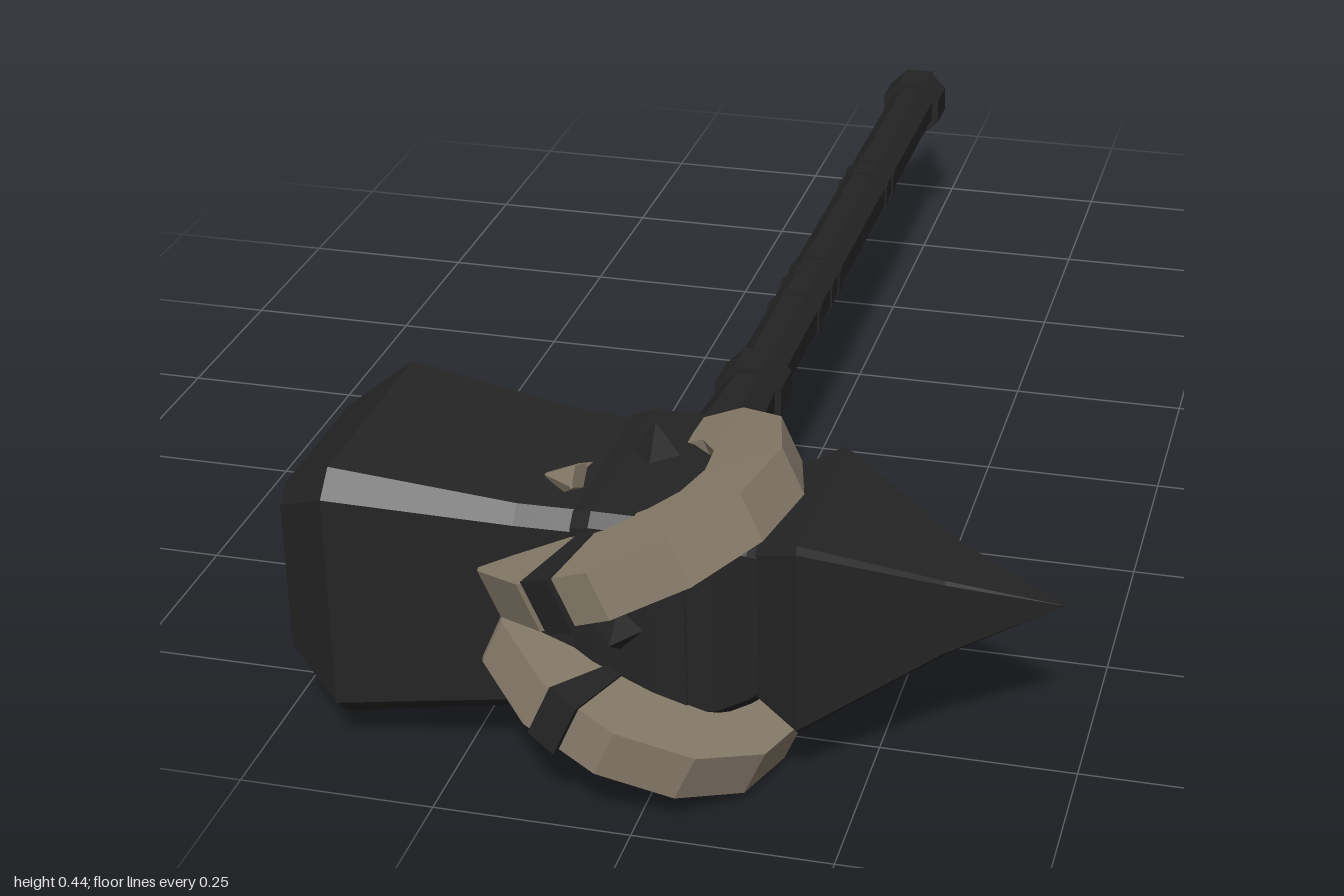
import * as THREE from 'three';

const CY = 0.22, HX = -0.04; // height of the symmetry plane, x of the handle axis
const V = (x, y, z) => new THREE.Vector3(x, y, z);

// Faceted skin over rings of points, closed at both ends
function loft(rings) {
  const pos = [];
  const tri = (a, b, c) => pos.push(...a.toArray(), ...b.toArray(), ...c.toArray());
  const n = rings[0].length;
  for (let k = 0; k + 1 < rings.length; k++) {
    for (let i = 0; i < n; i++) {
      const j = (i + 1) % n, a = rings[k], b = rings[k + 1];
      tri(a[i], a[j], b[j]);
      tri(a[i], b[j], b[i]);
    }
  }
  const first = rings[0], last = rings[rings.length - 1];
  for (let i = 1; i + 1 < n; i++) {
    tri(first[0], first[i + 1], first[i]);
    tri(last[0], last[i], last[i + 1]);
  }
  const g = new THREE.BufferGeometry();
  g.setAttribute('position', new THREE.Float32BufferAttribute(pos, 3));
  g.computeVertexNormals();
  return g;
}

// Chamfered rectangle in the yz plane
function section([x, hy, z0, z1, c]) {
  const zc = (z0 + z1) / 2, hz = (z1 - z0) / 2;
  return [[hy, -hz + c], [hy, hz - c], [hy - c, hz], [-hy + c, hz],
    [-hy, hz - c], [-hy, -hz + c], [-hy + c, -hz], [hy - c, -hz]]
    .map(([y, z]) => V(x, CY + y, zc + z));
}

export function createModel() {
  const model = new THREE.Group();
  const iron = new THREE.MeshStandardMaterial({ color: 0x242424 });
  iron.name = 'dark iron';
  const bone = new THREE.MeshStandardMaterial({ color: 0x877c6a });
  bone.name = 'horn bone';

  const add = (name, geometry, material = iron) => {
    const mesh = new THREE.Mesh(geometry, material);
    mesh.name = name;
    model.add(mesh);
    return mesh;
  };

  // Faceted rod along z
  const rod = (name, z0, z1, r0, r1, sides = 8, x = HX, y = CY, material = iron) => {
    const k = 1 / Math.cos(Math.PI / sides);
    let g = new THREE.CylinderGeometry(r1 * k, r0 * k, z1 - z0, sides);
    g.rotateY(Math.PI / sides);
    g.rotateX(Math.PI / 2);
    g.translate(x, y, (z0 + z1) / 2);
    g = g.toNonIndexed();
    g.computeVertexNormals();
    return add(name, g, material);
  };

  // Hammer block narrowing into the neck: x, half height, z range, chamfer
  add('hammerBlock', loft([
    [-0.475, 0.12, 0.62, 0.87, 0.02],
    [-0.40, 0.173, 0.57, 0.92, 0.03],
    [-0.17, 0.142, 0.60, 0.89, 0.02],
    [-0.10, 0.14, 0.605, 0.885, 0.02],
    [0.03, 0.135, 0.605, 0.885, 0.02],
    [0.075, 0.127, 0.615, 0.875, 0.015],
    [0.11, 0.115, 0.63, 0.86, 0.015],
    [0.135, 0.102, 0.645, 0.845, 0.015],
  ].map(section)));

  // Pointed beak on the other side
  add('beak', loft([
    [0.115, 0.105, 0.64, 0.85, 0.008],
    [0.175, 0.13, 0.61, 0.88, 0.008],
    [0.335, 0.052, 0.68, 0.785, 0.004],
    [0.47, 0.001, 0.719, 0.721, 0.0002],
  ].map(section)));

  // Raised plate round the middle of the head
  add('middleBand', loft([
    [-0.10, 0.14, 0.60, 0.885, 0.015],
    [-0.075, 0.148, 0.595, 0.893, 0.015],
    [0.0, 0.148, 0.595, 0.893, 0.015],
    [0.04, 0.132, 0.605, 0.885, 0.015],
  ].map(section)));

  // Four sided studs on top, bottom and front
  const stud = (name, radius, height) => {
    const g = new THREE.ConeGeometry(radius, height, 4).toNonIndexed();
    g.computeVertexNormals();
    return add(name, g);
  };
  for (const s of [1, -1]) {
    const m = stud(s > 0 ? 'topStud' : 'bottomStud', 0.05, 0.07);
    m.position.set(HX, CY + s * 0.155, 0.72);
    if (s < 0) m.rotation.x = Math.PI;
  }
  const frontStud = stud('frontStud', 0.035, 0.05);
  frontStud.rotation.x = Math.PI / 2;
  frontStud.position.set(HX, CY, 0.91);

  // Handle with flared socket, collars, grip rings and end spike
  rod('handleShaft', -0.86, 0.32, 0.036, 0.036);
  rod('socket', 0.27, 0.62, 0.037, 0.062);
  rod('socketFoot', 0.565, 0.62, 0.075, 0.085, 4);
  rod('upperCollar', 0.22, 0.28, 0.047, 0.047);
  rod('lowerCollar', -0.88, -0.82, 0.047, 0.047);
  rod('endSpike', -1, -0.87, 0.0005, 0.037);
  for (const z of [0.01, -0.07, -0.12, -0.45, -0.5])
    rod('gripRing', z - 0.008, z + 0.008, 0.039, 0.039);
  const chip = add('boneChip', new THREE.BoxGeometry(0.008, 0.02, 0.05), bone);
  chip.position.set(HX - 0.036, CY - 0.016, -0.55);

  // Curled horns: angle, radius, half depth, half width, outward lift
  const path = [
    [215, 0.14, 0.06, 0.033, 0],
    [180, 0.15, 0.065, 0.033, 0],
    [150, 0.147, 0.065, 0.033, 0],
    [120, 0.14, 0.065, 0.033, 0],
    [90, 0.137, 0.063, 0.033, 0],
    [60, 0.138, 0.06, 0.033, 0],
    [30, 0.143, 0.056, 0.033, 0],
    [0, 0.148, 0.052, 0.033, 0],
    [-30, 0.152, 0.046, 0.032, 0],
    [-60, 0.158, 0.038, 0.03, 0],
    [-90, 0.158, 0.032, 0.026, 0],
    [-120, 0.14, 0.032, 0.024, 0.02],
    [-150, 0.105, 0.03, 0.02, 0.05],
    [-180, 0.08, 0.022, 0.016, 0.07],
    [-225, 0.07, 0.002, 0.002, 0.08],
  ].reverse();

  for (const s of [1, -1]) {
    const tilt = THREE.MathUtils.degToRad(24);
    const e1 = V(Math.cos(tilt), s * Math.sin(tilt), 0), e2 = V(0, 0, 1);
    const n = e1.clone().cross(e2);
    const centre = V(-0.03, CY + s * 0.108, 0.8);
    const ring = ([deg, radius, depth, width, lift], grow = 0) => {
      const t = THREE.MathUtils.degToRad(deg);
      const r = e1.clone().multiplyScalar(Math.cos(t)).addScaledVector(e2, Math.sin(t));
      return [[1, -1], [1, 1], [-1, 1], [-1, -1]].map(([a, b]) => centre.clone()
        .addScaledVector(r, radius + b * (depth + grow))
        .addScaledVector(n, a * (width + grow) - s * lift));
    };
    const side = s > 0 ? 'upper' : 'lower';
    add(side + 'Horn', loft(path.map((p) => ring(p))), bone);

    // Iron strap round the horn
    add(side + 'HornStrap', loft([105, 117].map((a) => ring([a, 0.138, 0.063, 0.033, 0], 0.004))));

    // Horn points coming out of the back of the head
    const y = CY + s * 0.035;
    const point = (name, x, r, tx, tz) => add(name, loft([
      [V(tx - 0.001, y, tz), V(tx, y - 0.001, tz), V(tx + 0.001, y, tz), V(tx, y + 0.001, tz)],
      [V(x - r, y, 0.62), V(x, y - r, 0.62), V(x + r, y, 0.62), V(x, y + r, 0.62)],
    ].map((q) => q)), bone);
    point(side + 'BackPoint', -0.155, 0.035, -0.135, 0.45);
    point(side + 'SmallBackPoint', -0.2, 0.022, -0.2, 0.54);
  }

  return model;
}
